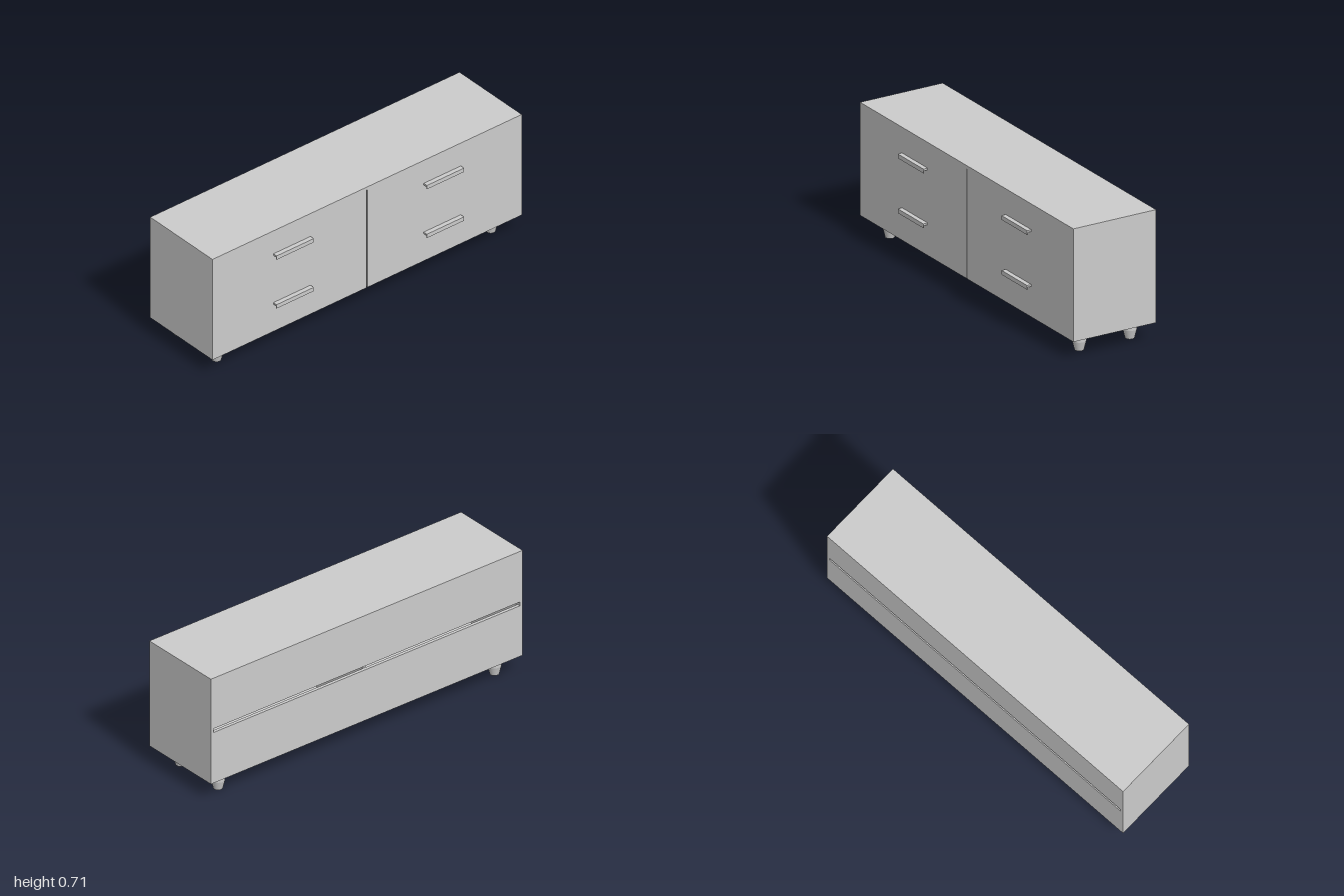
import * as THREE from 'three';

const material = new THREE.MeshStandardMaterial({ color: 0xcccccc });

// Box given by its minimum and maximum along each axis
function panel(name, [x0, x1], [y0, y1], [z0, z1]) {
  const mesh = new THREE.Mesh(new THREE.BoxGeometry(x1 - x0, y1 - y0, z1 - z0), material);
  mesh.position.set((x0 + x1) / 2, (y0 + y1) / 2, (z0 + z1) / 2);
  mesh.name = name;
  return mesh;
}

// Hooked pull: a flat plate with a lip turned down, extruded along x
function handle(x, top) {
  const s = new THREE.Shape();
  [[0, 0], [0.025, 0], [0.025, -0.023], [0.02, -0.023], [0.02, -0.01], [0, -0.01]]
    .forEach(([z, y], i) => (i ? s.lineTo(-z, y) : s.moveTo(-z, y)));
  const geometry = new THREE.ExtrudeGeometry(s, { depth: 0.24, bevelEnabled: false });
  geometry.translate(0, 0, -0.12).rotateY(Math.PI / 2);
  const mesh = new THREE.Mesh(geometry, material);
  mesh.position.set(x, top, 0.23);
  mesh.name = 'handle';
  return mesh;
}

// Round foot: straight collar above a tapered tip
function leg(x, z) {
  const group = new THREE.Group();
  const collar = new THREE.Mesh(new THREE.CylinderGeometry(0.036, 0.036, 0.051, 32), material);
  collar.position.y = 0.0745;
  collar.name = 'legCollar';
  const tip = new THREE.Mesh(new THREE.CylinderGeometry(0.036, 0.024, 0.049, 32), material);
  tip.position.y = 0.0245;
  tip.name = 'legTip';
  group.add(collar, tip);
  group.position.set(x, 0, z);
  group.name = 'leg';
  return group;
}

export function createModel() {
  const model = new THREE.Group();
  model.name = 'lowCabinet';
  const T = 0.018, bottom = 0.1, top = 0.706, back = -0.255, front = 0.23;
  const inner = 1 - T;

  // Carcass
  model.add(
    panel('topPanel', [-1, 1], [top - T, top], [back, front]),
    panel('bottomPanel', [-inner, inner], [bottom, bottom + T], [back, front - T]),
    panel('divider', [-T / 2, T / 2], [bottom + T, top - T], [back + T, front - T]),
    panel('leftSide', [inner, 1], [bottom, top - T], [back, front]),
    panel('rightSide', [-1, -inner], [bottom, top - T], [back, front])
  );

  // Back in two boards with a cable slot between them
  model.add(
    panel('lowerBack', [-inner, inner], [bottom + T, 0.392], [back, back + T]),
    panel('upperBack', [-inner, inner], [0.414, top - T], [back, back + T])
  );

  // Fronts with a narrow gap in the middle, handles and legs
  for (const side of [-1, 1]) {
    const xs = [side * 0.004, side * inner].sort((a, b) => a - b);
    model.add(panel('frontPanel', xs, [bottom, top - T], [front - T, front]));
    for (const y of [0.274, 0.568]) model.add(handle(side * 0.486, y));
    for (const z of [0.125, -0.172]) model.add(leg(side * 0.887, z));
  }
  return model;
}
